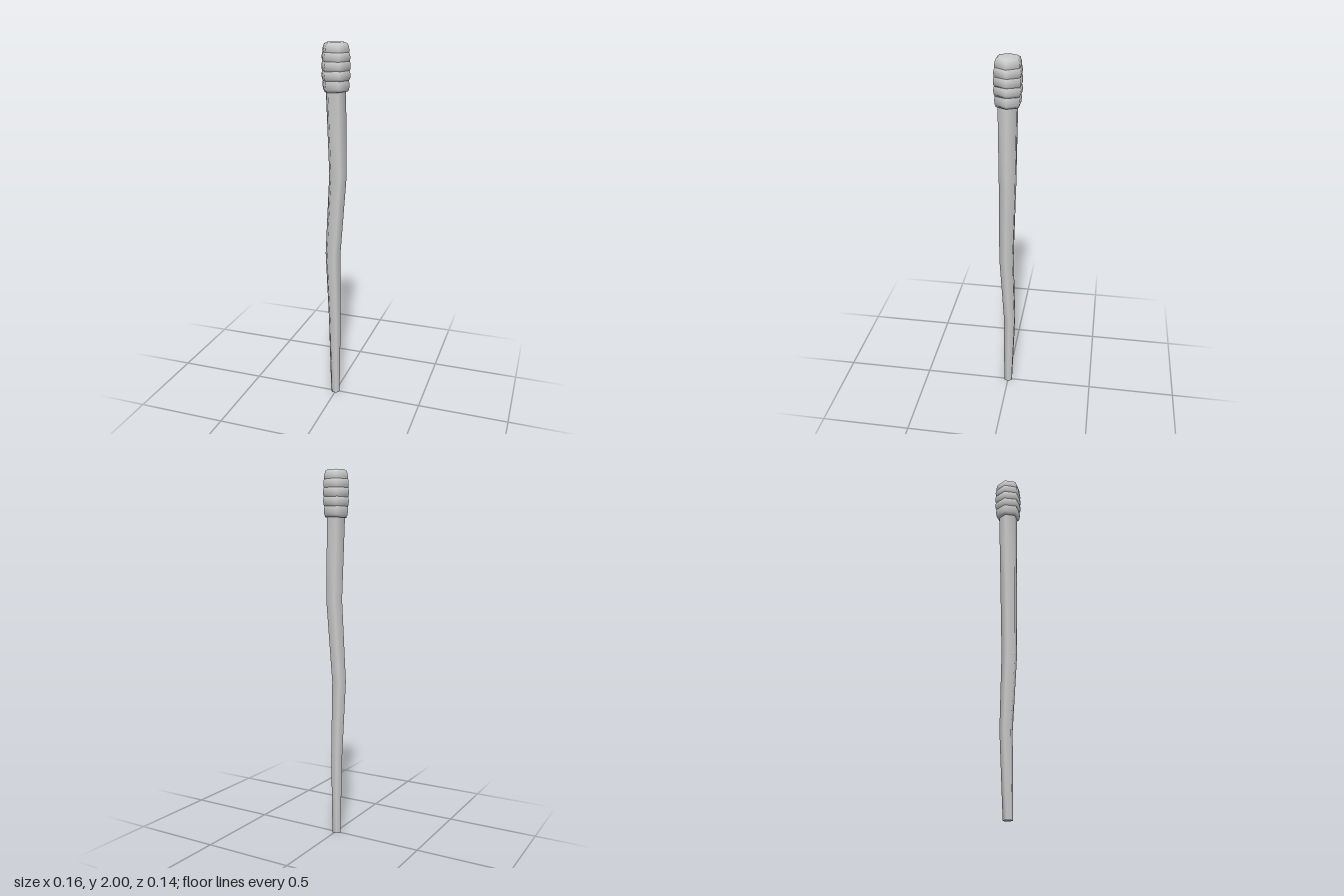
import * as THREE from 'three';
import { mergeVertices } from 'three/addons/utils/BufferGeometryUtils.js';

const SIDES = 6;
const material = new THREE.MeshStandardMaterial({ color: 0xcccccc });

// Six-sided turned form with a corner on +x and smooth normals; profile is [radius, y] going up
function hexLathe(profile) {
  const points = profile.map(([r, y]) => new THREE.Vector2(r, y));
  const geometry = new THREE.LatheGeometry(points, SIDES, Math.PI / 2);
  geometry.deleteAttribute('uv');
  geometry.deleteAttribute('normal');
  const merged = mergeVertices(geometry, 1e-5);
  merged.computeVertexNormals();
  return merged;
}

function addMesh(parent, name, geometry) {
  const mesh = new THREE.Mesh(geometry, material);
  mesh.name = name;
  parent.add(mesh);
  return mesh;
}

export function createModel() {
  const group = new THREE.Group();
  group.name = 'staff';

  // Crooked tapering shaft: y, radius, centre x, centre z
  const sections = [
    [0, 0.026, -0.003, 0],
    [0.45, 0.035, -0.009, -0.008],
    [0.87, 0.043, -0.013, 0.011],
    [1.32, 0.049, 0.012, 0.001],
    [1.78, 0.055, 0, 0.001],
  ];
  const shaft = hexLathe(sections.map(([y, r]) => [r, y]));
  const pos = shaft.attributes.position;
  for (let i = 0; i < pos.count; i++) {
    const [, , cx, cz] = sections.find(([y]) => Math.abs(y - pos.getY(i)) < 1e-4);
    pos.setX(i, pos.getX(i) + cx);
    pos.setZ(i, pos.getZ(i) + cz);
  }
  shaft.computeVertexNormals();
  addMesh(group, 'shaft', shaft);

  // Flat foot closing the shaft
  const foot = addMesh(group, 'foot', new THREE.CircleGeometry(sections[0][1], SIDES));
  foot.rotation.x = Math.PI / 2;
  foot.position.x = sections[0][2];

  // Bulging wrapped bands of the grip: centre y, half height, radius, tilt
  const bands = [
    [1.791, 0.036, 0.073, 0.04],
    [1.838, 0.03, 0.078, 0.07],
    [1.884, 0.03, 0.079, 0.06],
    [1.927, 0.03, 0.077, -0.06],
  ];
  const grip = new THREE.Group();
  grip.name = 'grip';
  group.add(grip);
  bands.forEach(([y, h, r, tilt], i) => {
    const band = addMesh(grip, `gripBand${i + 1}`, hexLathe([
      [0, -h], [r * 0.88, -h], [r * 0.97, -h * 0.6], [r, 0],
      [r * 0.97, h * 0.55], [r * 0.87, h], [0, h],
    ]));
    band.position.y = y;
    band.rotation.z = tilt;
  });

  // Rounded pommel on top
  addMesh(grip, 'pommel', hexLathe([
    [0, 1.94], [0.066, 1.94], [0.072, 1.955], [0.07, 1.975], [0.064, 1.992], [0.05, 2], [0, 2],
  ]));

  return group;
}
